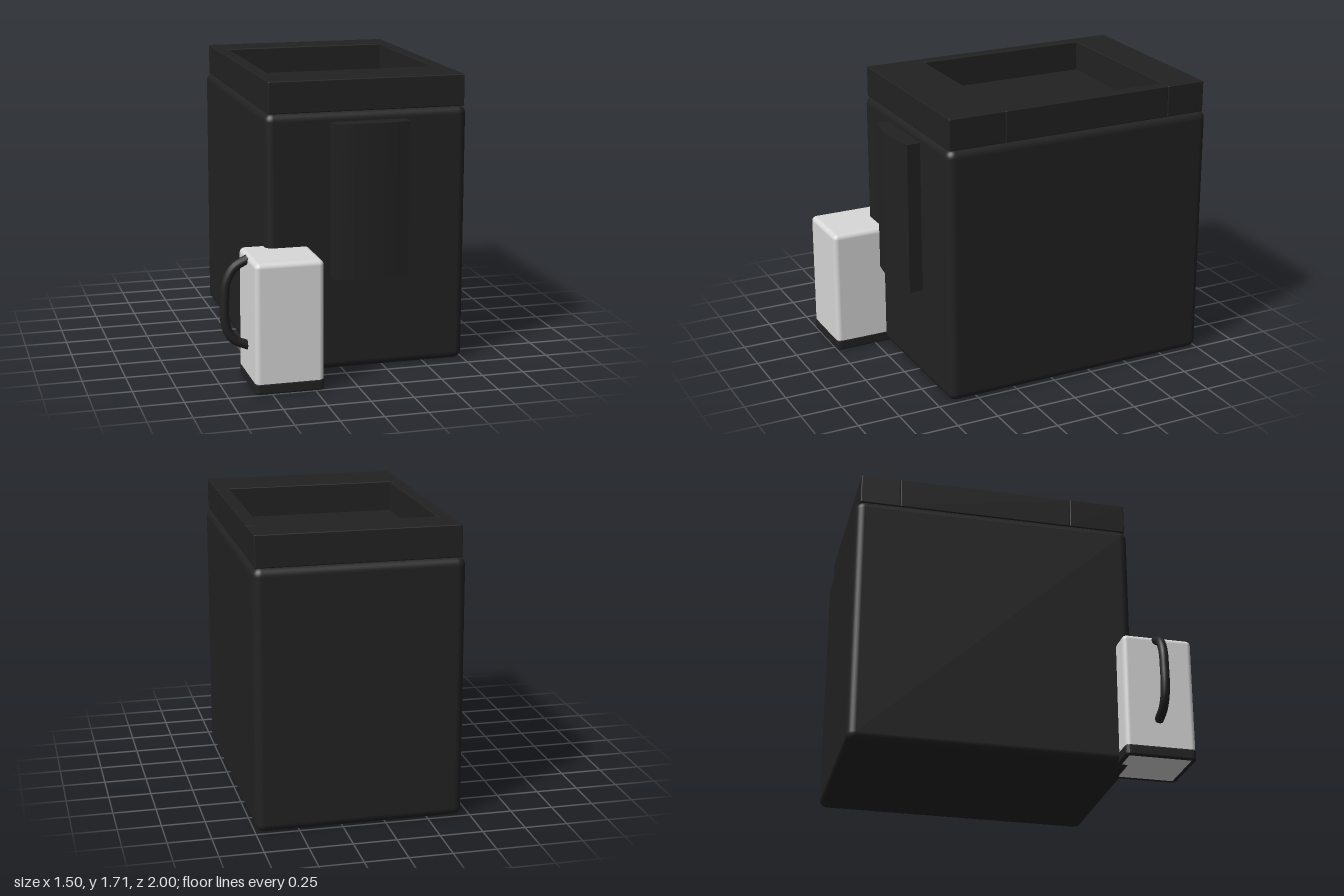
import * as THREE from 'three';
import { RoundedBoxGeometry } from 'three/addons/geometries/RoundedBoxGeometry.js';

export function createModel() {
  const group = new THREE.Group();
  const black = new THREE.MeshStandardMaterial({ name: 'black plastic', color: 0x222222 });
  const grey = new THREE.MeshStandardMaterial({ name: 'light grey', color: 0xd8d8d8 });

  const add = (name, geometry, material) => {
    const mesh = new THREE.Mesh(geometry, material);
    mesh.name = name;
    group.add(mesh);
    return mesh;
  };

  // Rounded box given by its limits on each axis
  const box = (name, [x0, x1], [y0, y1], [z0, z1], radius, material) =>
    add(name, new RoundedBoxGeometry(x1 - x0, y1 - y0, z1 - z0, 4, radius), material)
      .position.set((x0 + x1) / 2, (y0 + y1) / 2, (z0 + z1) / 2);

  box('body', [-0.455, 0.745], [0, 1.53], [-1, 0.675], 0.05, black);

  // Raised rim around the open tray on top
  const rimY = [1.525, 1.71];
  box('rimBack', [-0.435, 0.73], rimY, [-0.975, -0.735], 0.006, black);
  box('rimFront', [-0.435, 0.73], rimY, [0.315, 0.66], 0.006, black);
  box('rimRight', [-0.435, -0.355], rimY, [-0.735, 0.315], 0.006, black);
  box('rimLeft', [0.65, 0.73], rimY, [-0.735, 0.315], 0.006, black);

  // Front panel with a gently bowed face
  const bow = new THREE.Shape();
  bow.moveTo(-0.075, -0.65);
  bow.lineTo(-0.075, -0.755);
  bow.quadraticCurveTo(0.1475, -0.8, 0.37, -0.755);
  bow.lineTo(0.37, -0.65);
  const panel = new THREE.ExtrudeGeometry(bow, { depth: 0.905, bevelEnabled: false, curveSegments: 12 });
  panel.rotateX(-Math.PI / 2);
  add('frontPanel', panel, black).position.y = 0.565;

  // Jug
  box('jug', [-0.593, -0.197], [0.002, 0.755], [0.577, 0.998], 0.03, grey);

  // Band around the foot of the jug, open below
  const outline = (path, w, d, r) => {
    path.moveTo(-w + r, -d);
    path.lineTo(w - r, -d);
    path.quadraticCurveTo(w, -d, w, -d + r);
    path.lineTo(w, d - r);
    path.quadraticCurveTo(w, d, w - r, d);
    path.lineTo(-w + r, d);
    path.quadraticCurveTo(-w, d, -w, d - r);
    path.lineTo(-w, -d + r);
    path.quadraticCurveTo(-w, -d, -w + r, -d);
    return path;
  };
  const bandShape = outline(new THREE.Shape(), 0.19, 0.2025, 0.02);
  bandShape.holes.push(outline(new THREE.Path(), 0.18, 0.1925, 0.015));
  const band = new THREE.ExtrudeGeometry(bandShape, {
    depth: 0.045, bevelThickness: 0.01, bevelSize: 0.01, bevelSegments: 3, curveSegments: 5,
  });
  band.rotateX(-Math.PI / 2);
  add('jugBase', band, black).position.set(-0.395, 0.01, 0.7875);

  // Curved handle on the side of the jug
  const path = new THREE.CatmullRomCurve3([
    [-0.585, 0.735], [-0.665, 0.69], [-0.71, 0.61], [-0.721, 0.5],
    [-0.722, 0.4], [-0.705, 0.32], [-0.665, 0.265], [-0.585, 0.228],
  ].map(([x, y]) => new THREE.Vector3(x, y, 0.78)));
  add('jugHandle', new THREE.TubeGeometry(path, 32, 0.027, 12), black);

  return group;
}
